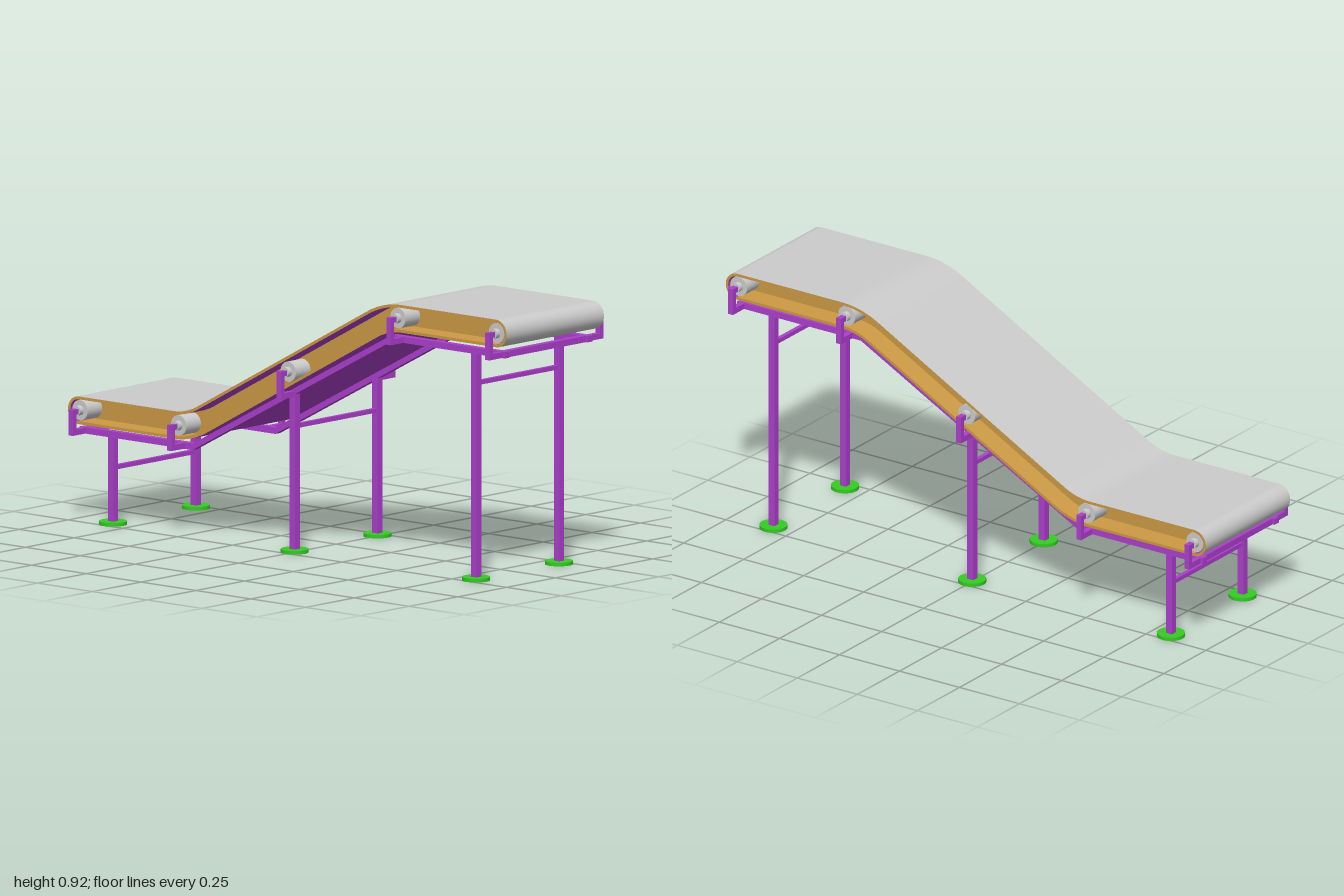
import * as THREE from 'three';

const mat = (color, side = THREE.FrontSide) => new THREE.MeshStandardMaterial({ color, side });

export function createModel() {
  const model = new THREE.Group();
  const grey = mat(0xcccccc), purple = mat(0xac3fcc), green = mat(0x33cc22);
  const greySkin = mat(0xcccccc, THREE.DoubleSide);
  const purpleSkin = mat(0xac3fcc, THREE.DoubleSide);
  const orangeSkin = mat(0xcc9a44, THREE.DoubleSide);

  const add = (name, geometry, material, x = 0, y = 0, z = 0) => {
    const mesh = new THREE.Mesh(geometry, material);
    mesh.name = name;
    mesh.position.set(x, y, z);
    model.add(mesh);
    return mesh;
  };
  // Box given by its limits on each axis
  const box = (name, x0, x1, y0, y1, z0, z1) => add(name,
    new THREE.BoxGeometry(x1 - x0, y1 - y0, Math.abs(z1 - z0)), purple,
    (x0 + x1) / 2, (y0 + y1) / 2, (z0 + z1) / 2);

  // Centre line of the belt: low flat, incline, high flat, with rounded bends
  const V = (x, y) => new THREE.Vector2(x, y);
  const LOW = 0.385, HIGH = 0.873, END = 0.952, BEND = 0.45;
  const slope = V(2 * BEND, HIGH - LOW).normalize().multiplyScalar(0.07);
  const lowBend = V(-BEND, LOW), highBend = V(BEND, HIGH);
  const centre = [
    V(-END, LOW),
    ...new THREE.QuadraticBezierCurve(V(-BEND - 0.07, LOW), lowBend, lowBend.clone().add(slope)).getPoints(10),
    ...new THREE.QuadraticBezierCurve(highBend.clone().sub(slope), highBend, V(BEND + 0.07, HIGH)).getPoints(10),
    V(END, HIGH),
  ];

  // Run parallel to the centre line, and the half circle at an end
  const run = (d) => centre.map((p, i) => {
    const a = centre[Math.max(i - 1, 0)], b = centre[Math.min(i + 1, centre.length - 1)];
    const t = (i === 0 || i === centre.length - 1) ? V(1, 0) : b.clone().sub(a).normalize();
    return V(p.x - t.y * d, p.y + t.x * d);
  });
  const arc = (x, y, r, start) => Array.from({ length: 17 }, (_, i) => {
    const a = start - Math.PI * i / 16;
    return V(x + r * Math.cos(a), y + r * Math.sin(a));
  });
  const rightArc = (r) => arc(END, HIGH, r, Math.PI / 2);
  const leftArc = (r) => arc(-END, LOW, r, -Math.PI / 2);
  const upper = (r) => [...leftArc(r), ...run(r).slice(1, -1), ...rightArc(r)];
  const loop = (r) => [...upper(r), ...run(-r).slice(1, -1).reverse()];

  // Sheet swept across the width along a 2D line
  const ribbon = (pts, z0, z1) => {
    const pos = [], idx = [];
    pts.forEach((p, i) => {
      pos.push(p.x, p.y, z0, p.x, p.y, z1);
      if (i) {
        const k = 2 * i;
        idx.push(k - 2, k - 1, k, k, k - 1, k + 1);
      }
    });
    const g = new THREE.BufferGeometry();
    g.setAttribute('position', new THREE.Float32BufferAttribute(pos, 3));
    g.setIndex(idx);
    g.computeVertexNormals();
    return g;
  };

  // Belt
  const R = 0.048, RI = 0.038, W = 0.25, PANEL = 0.17;
  add('beltTop', ribbon(upper(R), -W, W), greySkin);
  add('beltUnderside', ribbon(run(-R), -W, W), purpleSkin);
  const rim = new THREE.Shape(loop(R));
  rim.holes.push(new THREE.Path(loop(RI).reverse()));
  for (const s of [-1, 1]) {
    add('beltEdge', new THREE.ShapeGeometry(rim), orangeSkin, 0, 0, s * W);
    add('sidePanel', new THREE.ShapeGeometry(new THREE.Shape(loop(RI))), orangeSkin, 0, 0, s * PANEL);
    add('innerUpperRun', ribbon(upper(RI), s * PANEL, s * W), purpleSkin);
    add('innerLowerRun', ribbon(run(-RI), s * PANEL, s * W), orangeSkin);
  }

  // Side rails of the support frame
  const railLine = [[-0.97, 0.313], [-0.455, 0.313], [0.455, 0.796], [0.97, 0.796]];
  const h = 0.011;
  const railShape = new THREE.Shape([
    ...railLine.map(([x, y]) => V(x, y - h)),
    ...railLine.map(([x, y]) => V(x, y + h)).reverse(),
  ]);
  const railGeo = new THREE.ExtrudeGeometry(railShape, { depth: 0.025, bevelEnabled: false });
  for (const z of [0.2, -0.225]) add('sideRail', railGeo, purple, 0, 0, z);

  // Rollers with axles, held by C-shaped brackets
  const rollers = [[-0.95, LOW, 0.313], [-0.5, LOW, 0.313], [0, 0.629, 0.55], [0.5, HIGH, 0.796], [0.95, HIGH, 0.796]];
  const cylinder = (name, r, length, x, y) => {
    add(name, new THREE.CylinderGeometry(r, r, length, 32), grey, x, y, 0).rotation.x = Math.PI / 2;
  };
  for (const [x, y, base] of rollers) {
    cylinder('roller', 0.035, 0.49, x, y);
    cylinder('axle', 0.017, 0.526, x, y);
    for (const s of [-1, 1]) {
      box('bracketFoot', x - 0.01, x + 0.01, base - 0.01, base + 0.01, s * 0.2, s * 0.293);
      box('bracketPost', x - 0.01, x + 0.01, base - 0.01, y + 0.007, s * 0.275, s * 0.293);
      box('bracketLip', x - 0.01, x + 0.01, y - 0.011, y + 0.007, s * 0.26, s * 0.293);
    }
  }

  // Bars joining the rails at both ends
  for (const [x, y] of [[-0.95, 0.313], [0.95, 0.796]]) {
    box('endBar', x - 0.012, x + 0.012, y - h, y + h, -0.2, 0.2);
  }

  // Legs with feet and cross bars
  for (const [x, top, bar] of [[-0.828, 0.313, 0.197], [0, 0.555, 0.437], [0.828, 0.796, 0.683]]) {
    for (const s of [-1, 1]) {
      box('leg', x - 0.0125, x + 0.0125, 0.01, top, s * 0.2, s * 0.225);
      add('foot', new THREE.CylinderGeometry(0.048, 0.048, 0.012, 32), green, x, 0.006, s * 0.2125);
    }
    box('crossBar', x - 0.0075, x + 0.0075, bar - 0.0075, bar + 0.0075, -0.2, 0.2);
  }
  return model;
}
